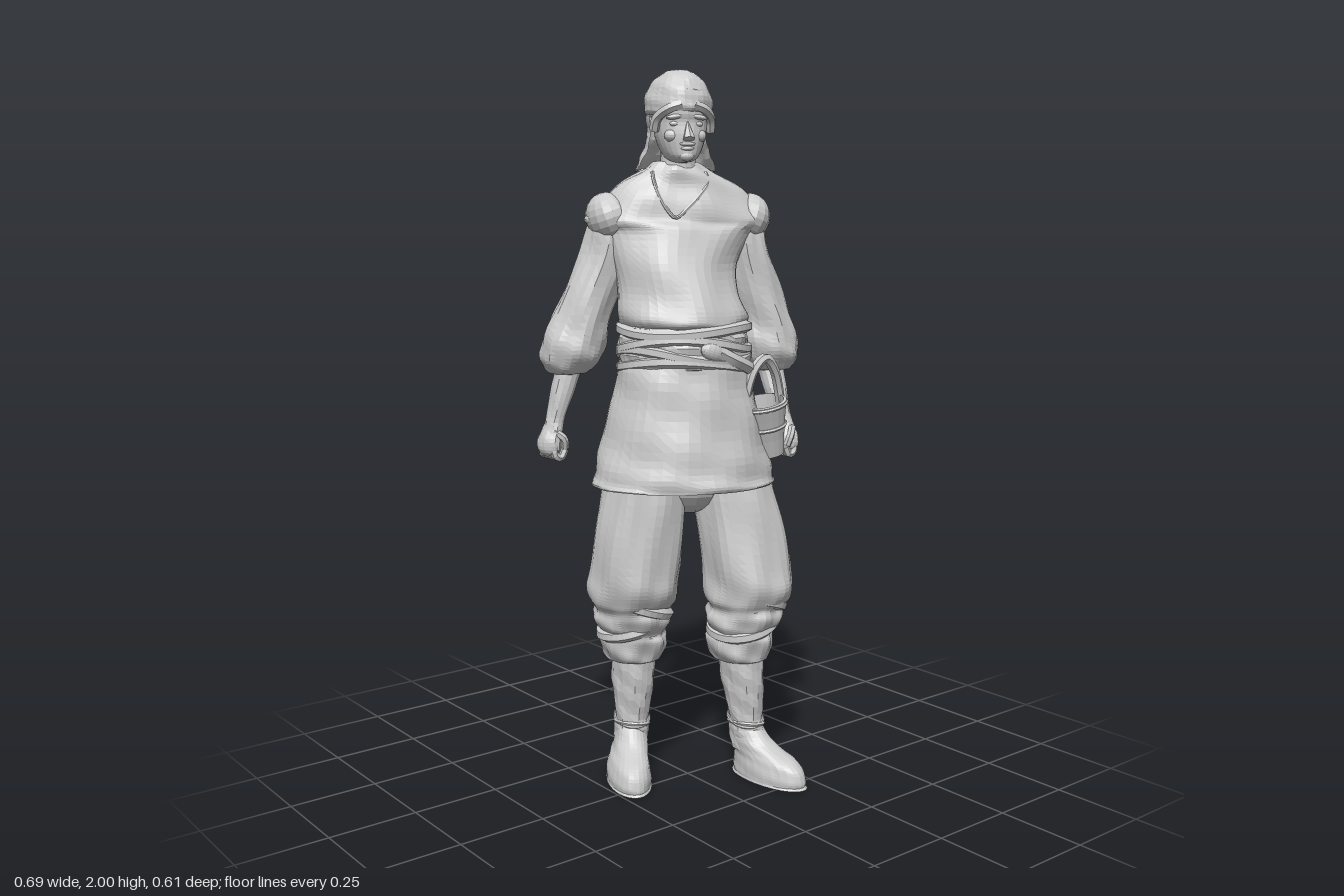
import * as THREE from 'three';

const mat = new THREE.MeshStandardMaterial({ color: 0xcccccc, flatShading: true, side: THREE.DoubleSide });
const V = (x, y, z) => new THREE.Vector3(x, y, z);
const YAW = -0.42; // the body is turned towards its right

// Surface through elliptical sections [x, y, z, rx, rz, yaw], listed top to bottom
function surface(sections, fold = 0) {
  const centres = new THREE.CatmullRomCurve3(sections.map(s => V(s[0], s[1], s[2])), false, 'catmullrom');
  const radii = new THREE.CatmullRomCurve3(sections.map(s => V(s[3], s[4], s[5] || 0)), false, 'catmullrom');
  return (u, a) => {
    const c = centres.getPoint(u), r = radii.getPoint(u);
    const f = fold * (Math.sin(5 * a + 9 * u) + Math.sin(8 * a - 14 * u + 1) + Math.sin(3 * a + 31 * u)) / 2;
    const x = (Math.max(r.x, 0) + f) * Math.cos(a), z = (Math.max(r.y, 0) + f) * Math.sin(a);
    const cs = Math.cos(r.z), sn = Math.sin(r.z);
    return V(c.x + x * cs + z * sn, c.y + f * 0.4, c.z - x * sn + z * cs);
  };
}

function skin(point, rows, cols, a0 = 0, a1 = Math.PI * 2) {
  const pos = [], idx = [];
  for (let i = 0; i <= rows; i++)
    for (let j = 0; j <= cols; j++) pos.push(...point(i / rows, a0 + (a1 - a0) * j / cols).toArray());
  for (let i = 0; i < rows; i++)
    for (let j = 0; j < cols; j++) {
      const p = i * (cols + 1) + j, q = p + cols + 1;
      idx.push(p, p + 1, q, p + 1, q + 1, q);
    }
  const g = new THREE.BufferGeometry();
  g.setAttribute('position', new THREE.Float32BufferAttribute(pos, 3));
  g.setIndex(idx);
  g.computeVertexNormals();
  return g;
}

function add(parent, name, geometry, x = 0, y = 0, z = 0) {
  const m = new THREE.Mesh(geometry, mat);
  m.name = name;
  m.position.set(x, y, z);
  parent.add(m);
  return m;
}
const loft = (parent, name, sections, fold = 0, rows = 24, cols = 30) =>
  add(parent, name, skin(surface(sections, fold), rows, cols));
const tube = (parent, name, points, r, closed = false, segs = 32) =>
  add(parent, name, new THREE.TubeGeometry(new THREE.CatmullRomCurve3(points, closed), segs, r, 6, closed));
const blob = (parent, name, x, y, z, sx, sy, sz) => {
  const m = add(parent, name, new THREE.SphereGeometry(1, 16, 12), x, y, z);
  m.scale.set(sx, sy, sz);
  return m;
};

// Piecewise-linear position along a limb, looked up by height
function along(path, y) {
  let i = 0;
  while (i < path.length - 2 && y < path[i + 1][1]) i++;
  const [a, b] = [path[i], path[i + 1]], t = (a[1] - y) / (a[1] - b[1]);
  return [a[0] + (b[0] - a[0]) * t, y, a[2] + (b[2] - a[2]) * t];
}

function buildTunic(g) {
  // sloping shoulders end in short caps that stand out over the sleeves
  const torso = [
    [-0.012, 1.755, -0.045, 0.06, 0.06], [-0.005, 1.73, -0.05, 0.1, 0.082], [0.01, 1.695, -0.06, 0.17, 0.102],
    [0.014, 1.65, -0.06, 0.222, 0.116], [0.015, 1.605, -0.06, 0.261, 0.125], [0.015, 1.585, -0.058, 0.257, 0.13],
    [0.008, 1.56, -0.055, 0.215, 0.138], [-0.015, 1.48, -0.045, 0.175, 0.147],
    [-0.015, 1.4, -0.025, 0.17, 0.152], [-0.012, 1.34, -0.01, 0.182, 0.162], [-0.012, 1.315, -0.005, 0.178, 0.157],
    [-0.012, 1.3, 0, 0.16, 0.135]].map(s => [...s, YAW]);
  loft(g, 'tunicTop', torso, 0.004, 44, 44);
  [[0.196, 0.022], [-0.168, -0.14]].forEach(([x, z]) => {
    blob(g, 'shoulderCap', x, 1.605, z, 0.062, 0.07, 0.092).rotation.set(0, YAW, Math.sign(x) * -0.35);
  });
  const p = surface(torso);
  const collar = [[0.1, 2.4], [0.16, 2.15], [0.25, 1.95], [0.33, 1.8], [0.37, 1.72], [0.32, 1.6], [0.25, 1.42], [0.17, 1.15], [0.1, 0.85]]
    .map(([u, a]) => p(u, a));
  tube(g, 'collarEdge', collar, 0.005);
  loft(g, 'tunicSkirt', [
    [-0.012, 1.27, 0, 0.165, 0.14], [-0.012, 1.2, 0, 0.185, 0.155], [-0.012, 1.1, 0, 0.206, 0.168],
    [-0.014, 0.98, 0, 0.234, 0.186], [-0.016, 0.9, 0, 0.253, 0.199], [-0.016, 0.868, 0, 0.26, 0.201],
    [-0.016, 0.872, 0, 0.235, 0.18]].map(s => [...s, YAW]), 0.004, 26, 44);

  // sash wound round the waist, with a knot and a short end
  loft(g, 'sash', [[-0.012, 1.325, 0, 0.165, 0.14, YAW], [-0.012, 1.29, 0, 0.178, 0.152, YAW],
    [-0.012, 1.22, 0, 0.184, 0.156, YAW], [-0.012, 1.19, 0, 0.175, 0.148, YAW]], 0.006, 10, 40);
  [[1.298, 0.01, 0.5], [1.262, -0.016, 1], [1.232, 0.018, 2.6], [1.208, 0.012, 4]].forEach(([y, tilt, ph]) => {
    const pts = [];
    for (let i = 0; i < 20; i++) {
      const a = i / 20 * Math.PI * 2, x = 0.176 * Math.cos(a), z = 0.149 * Math.sin(a);
      pts.push(V(-0.012 + x * Math.cos(YAW) + z * Math.sin(YAW), y + tilt * Math.sin(a * 2 + ph),
        -x * Math.sin(YAW) + z * Math.cos(YAW)));
    }
    tube(g, 'sashFold', pts, 0.017, true, 48);
  });
  blob(g, 'sashKnot', -0.03, 1.245, 0.152, 0.045, 0.026, 0.02).rotation.z = -0.3;
  tube(g, 'sashEnd', [V(-0.02, 1.245, 0.155), V(0.03, 1.222, 0.158), V(0.075, 1.205, 0.15), V(0.11, 1.19, 0.138)], 0.02);
}

function buildArm(g, side, path, hand) {
  const arm = new THREE.Group();
  arm.name = side + 'Arm';
  g.add(arm);
  const ring = ([y, r]) => [...along(path, y), r, r * 1.08];
  loft(arm, 'sleeve', [[1.645, 0.01], [1.63, 0.045], [1.58, 0.064], [1.5, 0.069], [1.4, 0.075], [1.32, 0.082],
    [1.265, 0.089], [1.225, 0.086], [1.195, 0.07], [1.175, 0.048], [1.185, 0.02]].map(ring), 0.004, 34, 26);
  // forearm, palm and curled fingers
  const [hx, hy, hz] = hand, wrist = along(path, 1.18), mid = t => wrist.map((w, i) => w + (hand[i] - w) * t);
  loft(arm, 'forearm', [[...wrist, 0.038, 0.038], [...mid(0.3), 0.034, 0.036], [...mid(0.65), 0.026, 0.029],
    [...mid(0.82), 0.027, 0.034], [...hand, 0.031, 0.042], [hx, hy - 0.03, hz, 0.026, 0.038],
    [hx, hy - 0.045, hz, 0.004, 0.006]], 0.001, 18, 14);
  const inward = -Math.sign(hx);
  for (let i = 0; i < 4; i++) {
    const z = hz + 0.03 - i * 0.02;
    tube(arm, 'finger', [V(hx, hy - 0.005, z), V(hx, hy - 0.036, z), V(hx + inward * 0.018, hy - 0.045, z),
      V(hx + inward * 0.032, hy - 0.022, z)], 0.012, false, 10);
  }
  tube(arm, 'thumb', [V(hx, hy + 0.03, hz + 0.025), V(hx + inward * 0.022, hy + 0.01, hz + 0.042),
    V(hx + inward * 0.03, hy - 0.018, hz + 0.036)], 0.011, false, 8);
}

function buildLeg(g, side, path, foot) {
  const leg = new THREE.Group();
  leg.name = side + 'Leg';
  g.add(leg);
  const ring = ([y, rx, rz]) => [...along(path, y), rx, rz];
  // baggy trousers gathered into folds below the knee
  loft(leg, 'trouserLeg', [[1.02, 0.09, 0.1], [0.86, 0.117, 0.119], [0.74, 0.123, 0.125], [0.63, 0.126, 0.129],
    [0.575, 0.126, 0.129], [0.535, 0.119, 0.122], [0.51, 0.107, 0.109], [0.485, 0.11, 0.113], [0.46, 0.103, 0.109],
    [0.435, 0.089, 0.096], [0.415, 0.093, 0.1], [0.385, 0.09, 0.095], [0.36, 0.081, 0.085], [0.352, 0.07, 0.075],
    [0.36, 0.045, 0.05]].map(ring), 0.006, 56, 36);
  const fold = (y, r, tilt, ph) => {
    const [cx, , cz] = along(path, y), pts = [];
    for (let i = 0; i < 14; i++) {
      const a = i / 14 * Math.PI * 2;
      pts.push(V(cx + r * Math.cos(a), y + tilt * Math.sin(a + ph), cz + r * 1.05 * Math.sin(a)));
    }
    tube(leg, 'fold', pts, 0.018, true, 36);
  };
  const outer = foot[0] > 0 ? 1.9 : 1.2;
  fold(0.525, 0.099, 0.035, outer + Math.PI);
  fold(0.455, 0.087, 0.025, outer);
  // boot shaft with wraps at the ankle
  loft(leg, 'bootShaft', [[0.4, 0.06, 0.075], [0.32, 0.058, 0.072], [0.25, 0.053, 0.065], [0.18, 0.046, 0.055],
    [0.13, 0.047, 0.056], [0.08, 0.045, 0.052]].map(ring), 0.0025, 16, 20);
  [0.155, 0.17].forEach((y, i) => {
    const [x, , z] = along(path, y);
    const w = add(leg, 'ankleWrap', new THREE.TorusGeometry(0.045, 0.006, 6, 22), x, y, z);
    w.rotation.set(Math.PI / 2 + (i ? 0.25 : -0.1), i ? 0.2 : -0.15, 0);
    w.scale.y = 1.2;
  });
  // shoe stacked from the ankle out to the sole
  const [fx, fz, yaw] = foot, [ax, , az] = along(path, 0.15);
  const s = (y, t, rx, rz) => [ax + (fx - ax) * t, y, az + (fz - az) * t, rx, rz, yaw];
  loft(leg, 'shoe', [s(0.15, 0, 0.042, 0.052), s(0.115, 0.2, 0.047, 0.068), s(0.09, 0.48, 0.05, 0.09),
    s(0.07, 0.8, 0.054, 0.112), s(0.05, 0.95, 0.059, 0.124), s(0.025, 1, 0.062, 0.13), s(0.008, 1, 0.061, 0.129),
    s(0, 1, 0.058, 0.126), s(0, 1, 0, 0)], 0.001, 24, 26);
}

function buildHead(g) {
  const head = new THREE.Group();
  head.name = 'head';
  head.position.set(-0.026, 0, -0.001);
  head.rotation.y = -0.42;
  g.add(head);
  loft(head, 'neck', [[0, 1.82, -0.02, 0.05, 0.055], [0, 1.76, -0.025, 0.048, 0.052], [0, 1.7, -0.035, 0.065, 0.065]], 0, 8, 18);
  loft(head, 'face', [[0, 1.94, 0, 0.078, 0.085], [0, 1.88, 0.002, 0.077, 0.087], [0, 1.855, 0.002, 0.074, 0.082],
    [0, 1.82, 0.004, 0.068, 0.084], [0, 1.785, 0.01, 0.055, 0.077], [0, 1.762, 0.018, 0.04, 0.066],
    [0, 1.752, 0.022, 0.02, 0.04], [0, 1.75, 0.02, 0, 0]], 0, 24, 24);
  const nose = add(head, 'nose', new THREE.ConeGeometry(0.017, 0.055, 6), 0, 1.835, 0.09);
  nose.rotation.x = -0.35;
  blob(head, 'upperLip', 0, 1.797, 0.084, 0.022, 0.006, 0.009);
  blob(head, 'lowerLip', 0, 1.785, 0.082, 0.018, 0.006, 0.009);
  blob(head, 'chin', 0, 1.766, 0.074, 0.02, 0.014, 0.014);
  for (const k of [-1, 1]) {
    blob(head, 'brow', k * 0.032, 1.868, 0.076, 0.026, 0.007, 0.012).rotation.z = -k * 0.15;
    blob(head, 'eye', k * 0.032, 1.85, 0.071, 0.014, 0.007, 0.008);
    blob(head, 'cheek', k * 0.036, 1.82, 0.058, 0.022, 0.018, 0.02);
    // tufts of hair at the temples
    tube(head, 'hairTuft', [V(k * 0.015, 1.9, 0.084), V(k * 0.05, 1.888, 0.073), V(k * 0.074, 1.865, 0.044),
      V(k * 0.078, 1.835, 0.028)], 0.014, false, 14);
  }
  // round cap over a flared neck cloth
  loft(head, 'cap', [[0, 2, -0.02, 0, 0], [0, 1.994, -0.02, 0.035, 0.042], [0, 1.972, -0.02, 0.066, 0.082],
    [0, 1.935, -0.02, 0.087, 0.107], [0, 1.9, -0.02, 0.092, 0.114], [0, 1.882, -0.02, 0.088, 0.109],
    [0, 1.878, -0.02, 0.078, 0.09]], 0.002, 20, 30);
  add(head, 'neckCloth', skin(surface([[0, 1.9, -0.022, 0.089, 0.112], [0, 1.86, -0.026, 0.084, 0.102],
    [0, 1.82, -0.032, 0.082, 0.096], [0, 1.78, -0.042, 0.092, 0.11], [0, 1.745, -0.052, 0.107, 0.127],
    [0, 1.73, -0.056, 0.112, 0.133], [0, 1.738, -0.048, 0.09, 0.11]], 0.003), 18, 28, Math.PI * 0.93, Math.PI * 2.07));
}

function buildBasket(g) {
  const b = new THREE.Group();
  b.name = 'basket';
  b.position.set(0.192, 0.945, 0.128);
  b.rotation.set(0.06, 0, 0.24);
  g.add(b);
  const profile = [[0, 0], [0.044, 0], [0.051, 0.05], [0.062, 0.11], [0.071, 0.155], [0.063, 0.157], [0.052, 0.08],
    [0.04, 0.015], [0, 0.015]].map(p => new THREE.Vector2(...p));
  add(b, 'bucket', new THREE.LatheGeometry(profile, 20));
  [[0.058, 0.085], [0.069, 0.148]].forEach(([r, y]) => {
    add(b, 'hoop', new THREE.TorusGeometry(r, 0.006, 6, 24), 0, y, 0).rotation.x = Math.PI / 2;
  });
  tube(b, 'handle', [V(-0.064, 0.13, 0), V(-0.055, 0.19, 0.005), V(-0.015, 0.26, 0.01), V(0.028, 0.277, 0.01),
    V(0.056, 0.235, 0.006), V(0.068, 0.175, 0), V(0.068, 0.13, 0)], 0.014);
}

export function createModel() {
  const g = new THREE.Group();
  g.name = 'villager';
  buildTunic(g);
  buildArm(g, 'left', [[0.165, 1.7, 0.01], [0.188, 1.5, 0.022], [0.25, 1.3, 0.035], [0.268, 1.17, 0.05]], [0.264, 0.985, 0.122]);
  buildArm(g, 'right', [[-0.135, 1.7, -0.13], [-0.17, 1.5, -0.155], [-0.238, 1.3, -0.2], [-0.26, 1.17, -0.215]], [-0.314, 0.985, -0.23]);
  blob(g, 'trouserSeat', -0.003, 0.9, 0.005, 0.13, 0.12, 0.12).rotation.y = YAW;
  buildLeg(g, 'left', [[0.1, 1.02, 0.05], [0.112, 0.86, 0.066], [0.126, 0.74, 0.085], [0.14, 0.58, 0.107], [0.122, 0.4, 0.085],
    [0.143, 0.1, 0.1]], [0.162, 0.175, 0.1]);
  buildLeg(g, 'right', [[-0.11, 1.02, -0.04], [-0.116, 0.86, -0.044], [-0.13, 0.74, -0.052], [-0.141, 0.58, -0.068],
    [-0.134, 0.49, -0.09], [-0.117, 0.4, -0.102], [-0.12, 0.1, -0.115]], [-0.166, -0.065, -0.45]);
  buildHead(g);
  buildBasket(g);
  return g;
}
